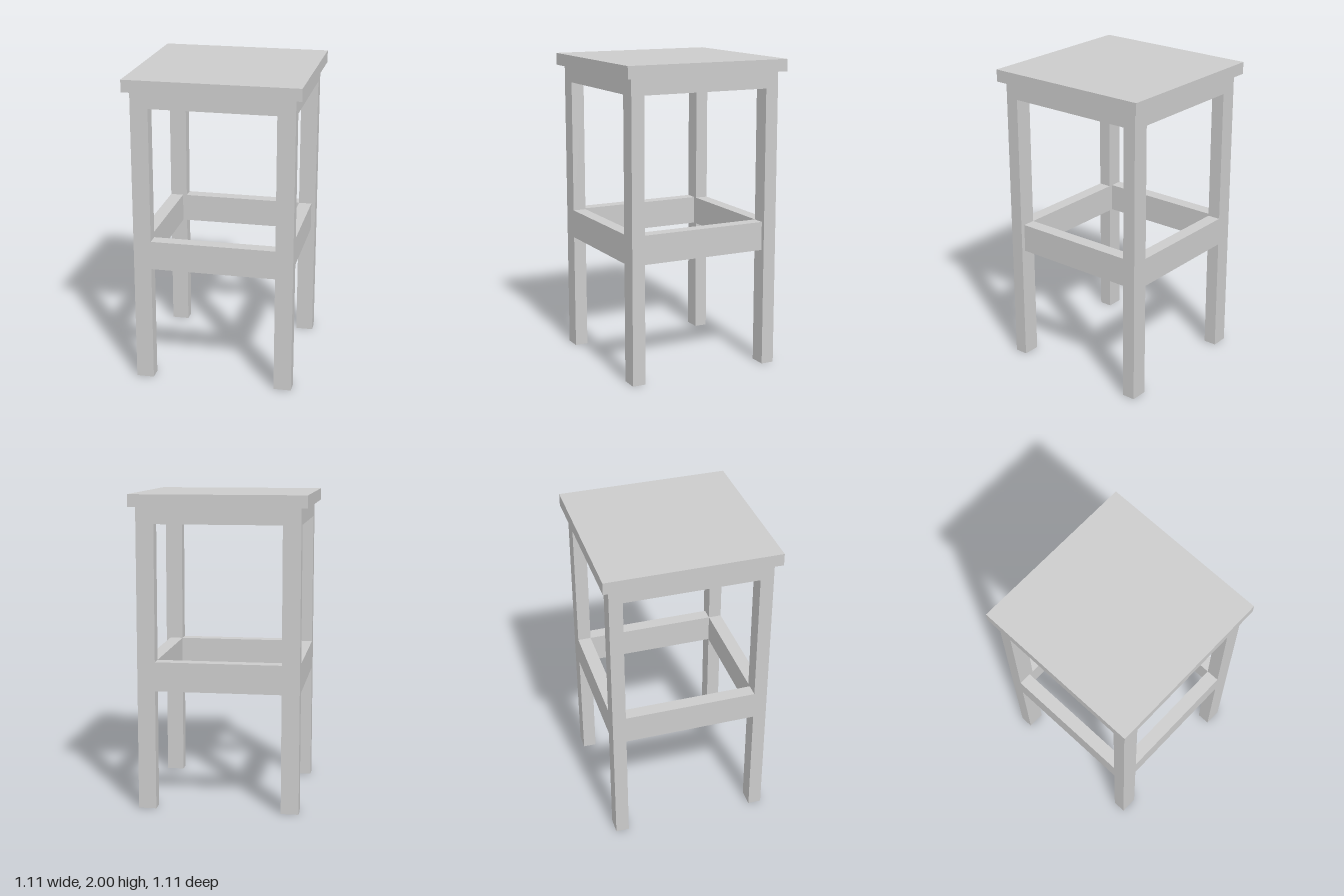
import * as THREE from 'three';

const material = new THREE.MeshStandardMaterial({ color: 0xcccccc, flatShading: true });

// Box given by its minimum and maximum corners
function block(name, [x0, y0, z0], [x1, y1, z1]) {
  const mesh = new THREE.Mesh(new THREE.BoxGeometry(x1 - x0, y1 - y0, z1 - z0), material);
  mesh.position.set((x0 + x1) / 2, (y0 + y1) / 2, (z0 + z1) / 2);
  mesh.name = name;
  return mesh;
}

export function createModel() {
  const outer = 0.513, innerX = 0.4, innerZ = 0.427;
  const depth = outer - innerZ;
  const seatBottom = 1.922, apronBottom = 1.816;
  const railBottom = 0.766, railTop = 0.952;

  const stool = new THREE.Group();
  stool.name = 'stool';

  // Seat slab with overhang
  stool.add(block('seat', [-0.554, seatBottom, -0.554], [0.554, 2, 0.554]));

  // Front and back frames: two legs, a rail and the apron in one flush piece
  const outline = new THREE.Shape([
    [-outer, 0], [-innerX, 0], [-innerX, railBottom], [innerX, railBottom],
    [innerX, 0], [outer, 0], [outer, seatBottom], [-outer, seatBottom],
  ].map(([x, y]) => new THREE.Vector2(x, y)));
  outline.holes.push(new THREE.Path([
    [-innerX, railTop], [-innerX, apronBottom], [innerX, apronBottom], [innerX, railTop],
  ].map(([x, y]) => new THREE.Vector2(x, y))));
  const frameGeometry = new THREE.ExtrudeGeometry(outline, { depth, bevelEnabled: false });
  for (const [name, z] of [['frontFrame', innerZ], ['backFrame', -outer]]) {
    const frame = new THREE.Mesh(frameGeometry, material);
    frame.name = name;
    frame.position.z = z;
    stool.add(frame);
  }

  // Solid apron block between the frames
  stool.add(block('apron', [-outer, apronBottom, -innerZ], [outer, seatBottom, innerZ]));

  // Side rails: one flush with the outside of the legs, the other with the inside
  for (const [name, x] of [['rightRail', -outer], ['leftRail', innerX]]) {
    stool.add(block(name, [x, railBottom, -innerZ], [x + depth, railTop, innerZ]));
  }

  return stool;
}
